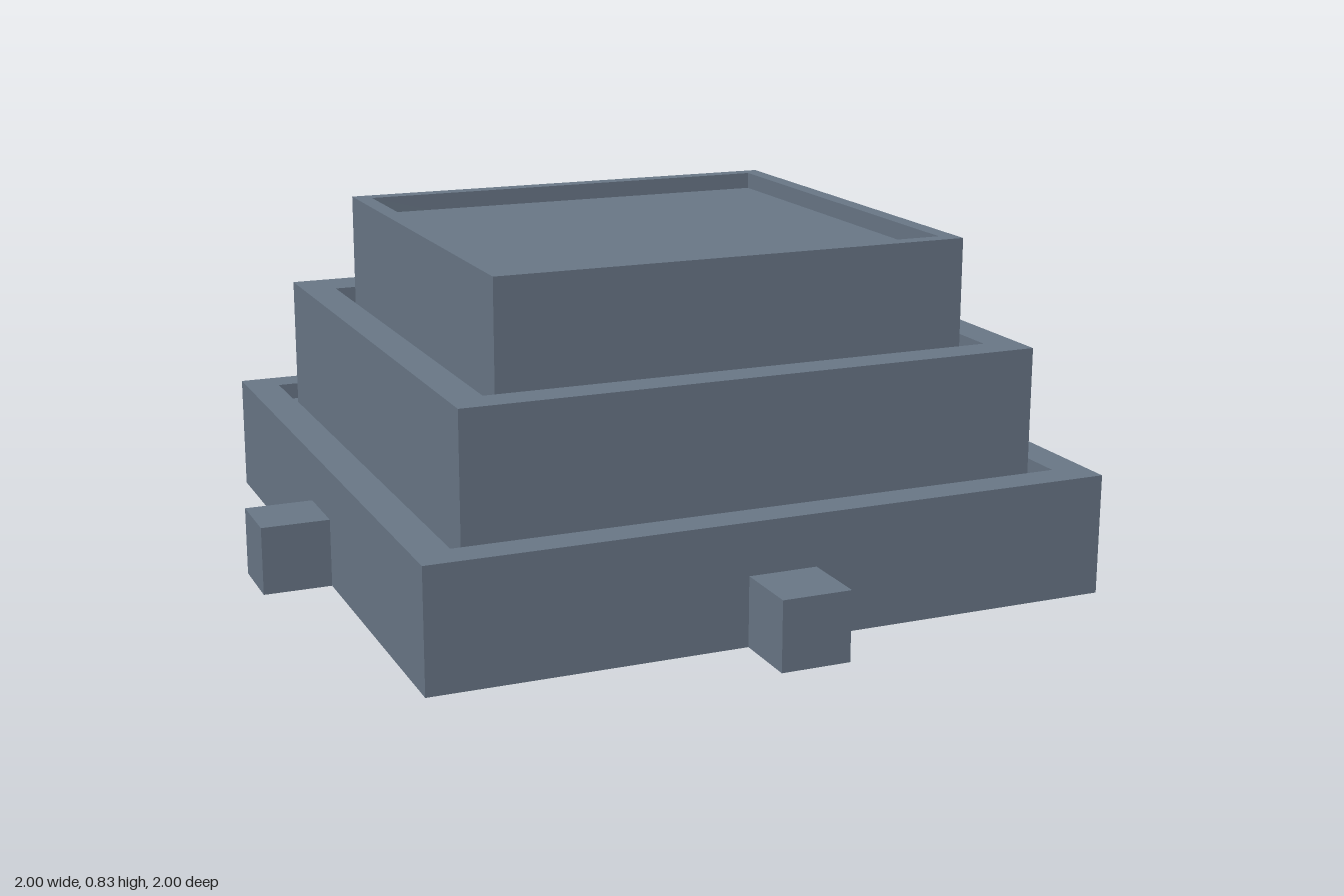
import * as THREE from 'three';

const U = 1 / 24; // all sizes are whole multiples of this unit

const slate = new THREE.MeshStandardMaterial({ color: 0x6a7888 });
slate.name = 'slate';

// Box given by its limits in units
function block(name, x0, x1, y0, y1, z0, z1) {
  const geo = new THREE.BoxGeometry((x1 - x0) * U, (y1 - y0) * U, (z1 - z0) * U);
  geo.translate(((x0 + x1) / 2) * U, ((y0 + y1) / 2) * U, ((z0 + z1) / 2) * U);
  const mesh = new THREE.Mesh(geo, slate);
  mesh.name = name;
  return mesh;
}

// Rectangle outline; shape y becomes -z once the extrusion is stood up
function rectangle(Type, [x0, x1, z0, z1]) {
  return new Type([[x0, -z1], [x1, -z1], [x1, -z0], [x0, -z0]]
    .map(([x, y]) => new THREE.Vector2(x * U, y * U)));
}

// Tier: a raised rim around a floor sunk one unit below its top
function tier(name, y0, y1, outer, inner) {
  const group = new THREE.Group();
  group.name = name;
  const shape = rectangle(THREE.Shape, outer);
  shape.holes.push(rectangle(THREE.Path, inner));
  const geo = new THREE.ExtrudeGeometry(shape, { depth: (y1 - y0) * U, bevelEnabled: false });
  geo.rotateX(-Math.PI / 2);
  geo.translate(0, y0 * U, 0);
  const rim = new THREE.Mesh(geo, slate);
  rim.name = name + 'Rim';
  const [x0, x1, z0, z1] = inner;
  group.add(rim, block(name + 'Floor', x0, x1, y0, y1 - 1, z0, z1));
  return group;
}

export function createModel() {
  const model = new THREE.Group();
  model.name = 'steppedPlatform';

  // Three stacked tiers, limits as [left, right, back, front]
  model.add(
    tier('lowerTier', 0, 7, [-20, 20, -20, 20], [-18, 18, -18, 18]),
    tier('middleTier', 6, 14, [-17, 17, -17, 17], [-15, 15, -14, 15]),
    tier('upperTier', 13, 20, [-14, 14, -13, 14], [-13, 13, -12, 13]),
  );

  // Four small tabs; the back one sits a unit off centre
  model.add(
    block('frontTab', -2, 2, 0, 4, 20, 24),
    block('backTab', -3, 1, 0, 4, -24, -20),
    block('leftTab', 20, 24, 0, 4, -2, 2),
    block('rightTab', -24, -20, 0, 4, -2, 2),
  );
  return model;
}
